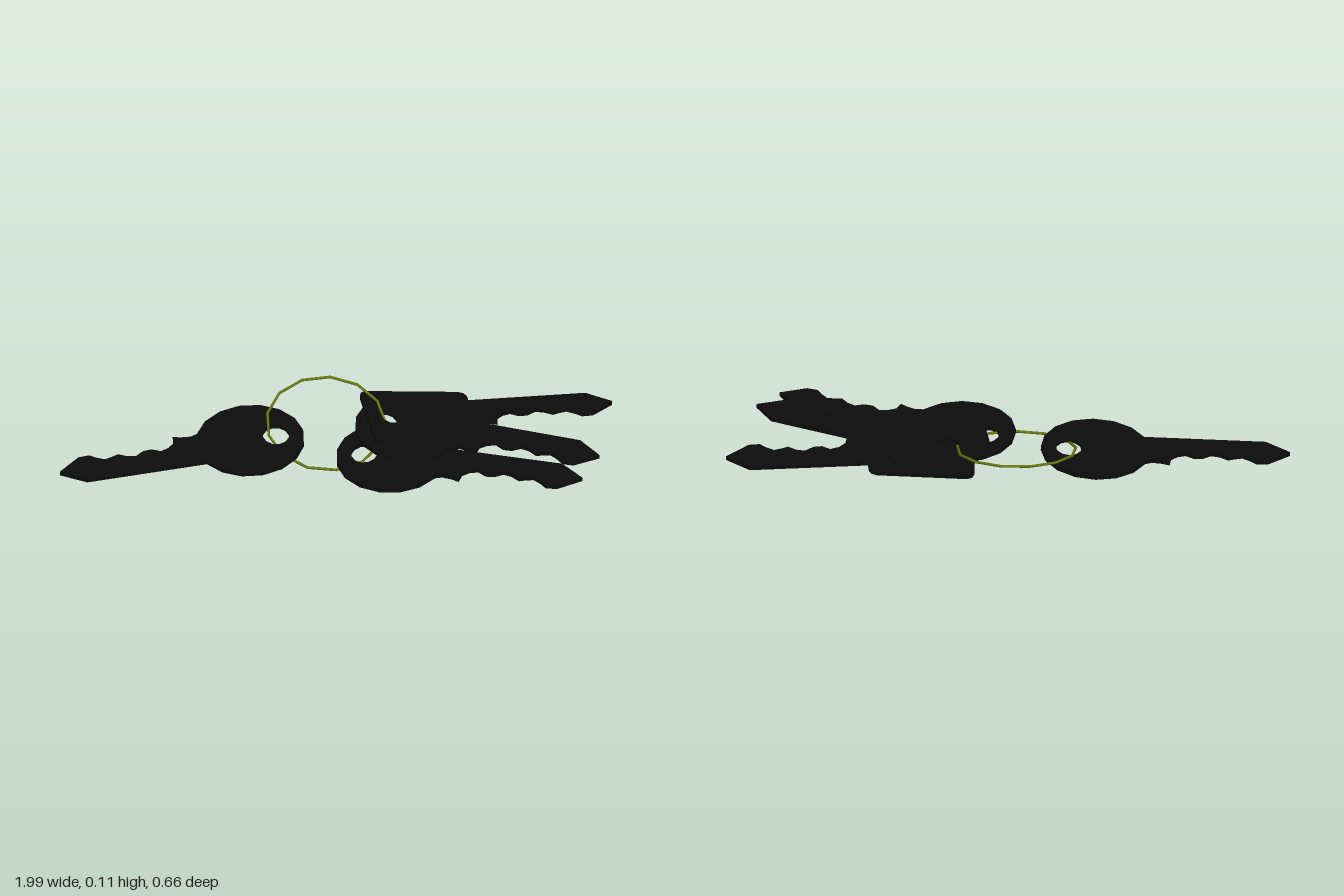
import * as THREE from 'three';

const THICK = 0.016;

// cut side of the blade from the shoulder to the tip, then back along the straight spine
const BLADE = [
  [0.2, 0.07], [0.235, 0.075], [0.262, 0.085], [0.267, 0.05], [0.29, 0.028], [0.32, 0.018],
  [0.35, 0.037], [0.38, 0.035], [0.41, 0.015], [0.44, 0.022], [0.47, 0.042], [0.49, 0.034],
  [0.52, 0.026], [0.55, 0.045], [0.57, 0.064], [0.61, 0.062], [0.69, 0], [0.605, -0.066],
];

// round bow, walked from the spine side round the back to the cut side
function roundBow() {
  const pts = [];
  for (let i = 0; i <= 14; i++) {
    const a = -0.42 - (i / 14) * (Math.PI * 2 - 0.84);
    pts.push([0.192 * Math.cos(a), 0.195 * Math.sin(a)]);
  }
  return pts;
}

// tapered square bow with clipped corners
function squareBow() {
  const half = [[0.185, 0.095], [0.175, 0.115], [0.155, 0.126], [-0.165, 0.17], [-0.183, 0.163], [-0.19, 0.145]];
  const spine = half.map(([x, y]) => [x, -y]);
  return [[0.185, -0.066], ...spine, ...half.reverse()];
}

function makeKey(name, bow, material, { pos, yaw, pitch = 0, roll = 0 }) {
  const shape = new THREE.Shape([...bow, ...BLADE].map(([x, y]) => new THREE.Vector2(x, y)));
  // oval hole for the ring
  const hole = new THREE.Path();
  hole.absellipse(-0.093, 0, 0.047, 0.057, 0, Math.PI * 2, false, 0);
  shape.holes.push(hole);
  const geo = new THREE.ExtrudeGeometry(shape, { depth: THICK, bevelEnabled: false, curveSegments: 6 });
  geo.translate(0, 0, -THICK / 2);
  geo.rotateX(Math.PI / 2);
  const key = new THREE.Mesh(geo, material);
  key.name = name;
  key.rotation.set(roll, -yaw, pitch, 'YZX');
  key.position.set(...pos);
  return key;
}

export function createModel() {
  const group = new THREE.Group();
  group.name = 'keyRing';
  const black = new THREE.MeshStandardMaterial({ color: 0x0d0d0d, flatShading: true });
  const brass = new THREE.MeshStandardMaterial({ color: 0x66780f });

  // four keys, one apart and three fanned in a pile
  group.add(
    makeKey('separateKey', roundBow(), black, { pos: [-0.31, 0.043, -0.095], yaw: Math.PI - 0.043, pitch: -0.045 }),
    makeKey('bottomKey', roundBow(), black, { pos: [0.165, 0.019, 0.057], yaw: 0.36 }),
    makeKey('middleKey', roundBow(), black, { pos: [0.255, 0.047, -0.07], yaw: 0.4, pitch: -0.022 }),
    makeKey('topSquareKey', squareBow(), black, { pos: [0.305, 0.051, -0.125], yaw: 0, pitch: -0.057, roll: -0.1 }),
  );

  // thin wire ring, tilted up at the back
  const ring = new THREE.Mesh(new THREE.TorusGeometry(0.211, 0.005, 8, 13), brass);
  ring.geometry.rotateZ(Math.PI / 2);
  ring.geometry.rotateX(Math.PI / 2);
  ring.name = 'wireRing';
  ring.rotation.x = 0.245;
  ring.position.set(-0.033, 0.059, -0.125);
  group.add(ring);
  return group;
}
